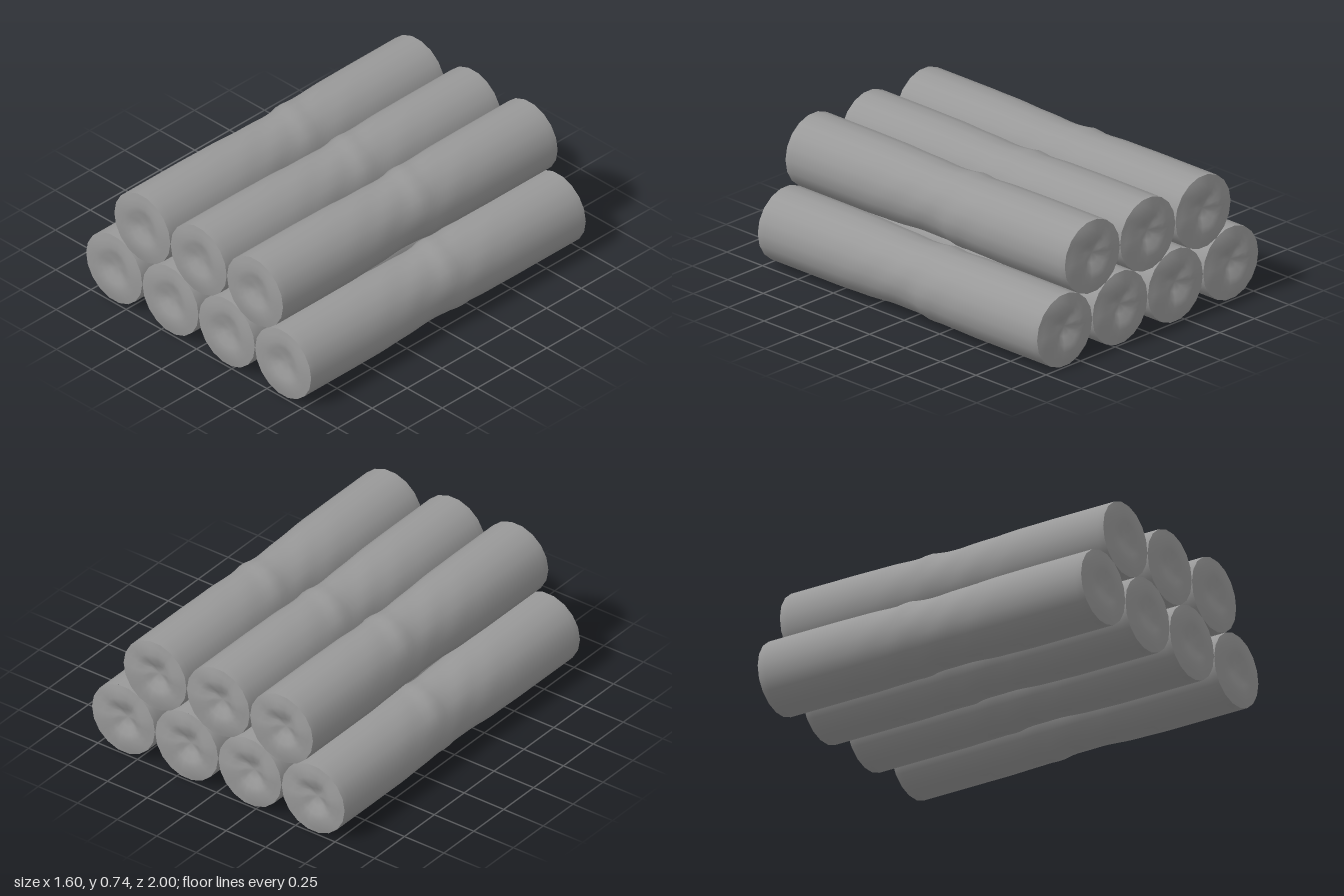
import * as THREE from 'three';
import { mergeVertices } from 'three/addons/utils/BufferGeometryUtils.js';

const R = 0.199, RIM = 0.985, SIDES = 18;
const bell = (t, centre, width) => Math.exp(-(((t - centre) / width) ** 2));

// Lathe around z with vertices on the +x and -x sides, moved by a rule and smoothed
function latheAlongZ(profile, move) {
  const points = profile.map(([r, h]) => new THREE.Vector2(r, h));
  const lathe = new THREE.LatheGeometry(points, SIDES, Math.PI / 2);
  lathe.rotateX(Math.PI / 2);
  lathe.deleteAttribute('uv');
  lathe.deleteAttribute('normal');
  const p = lathe.attributes.position;
  const v = new THREE.Vector3();
  for (let i = 0; i < p.count; i++) {
    move(v.fromBufferAttribute(p, i));
    p.setXYZ(i, v.x, v.y, v.z);
  }
  const geometry = mergeVertices(lathe, 1e-5);
  geometry.computeVertexNormals();
  return geometry;
}

// Log side: a slight waist with a knotty ridge and small bumps near the middle
function barkGeometry() {
  const profile = [];
  const steps = 48;
  for (let i = 0; i <= steps; i++) profile.push([R, -RIM + (2 * RIM * i) / steps]);
  return latheAlongZ(profile, (v) => {
    const a = Math.atan2(v.y, v.x);
    const waist = 0.075 * bell(v.z, 0.02, 0.28);
    const ridge = 0.045 * bell(v.z, -0.1 + 0.04 * Math.sin(2 * a), 0.05);
    const bumps = 0.016 * bell(v.z, 0, 0.4) * Math.sin(3 * a + 9 * v.z) * Math.cos(16 * v.z + 2 * a);
    const s = 1 - waist + ridge + bumps;
    v.x *= s;
    v.y *= s;
  });
}

// Log end: raised ring around an uneven dent
function endGeometry(depth, lobes, ripple) {
  const profile = [[R, 0], [0.165, 0.007], [0.125, 0.012], [0.09, 0.007], [0.05, -0.6 * depth], [0, -depth]];
  return latheAlongZ(profile, (v) => {
    const r = Math.hypot(v.x, v.y) / R;
    const a = Math.atan2(v.y, v.x);
    v.z = Math.min(RIM + v.z + ripple * Math.sin(lobes * a + 0.6) * r * (1 - r), 1);
    v.x += 0.015 * (1 - r);
    v.y += 0.012 * (1 - r);
  });
}

export function createModel() {
  const model = new THREE.Group();
  model.name = 'logPile';
  const material = new THREE.MeshStandardMaterial({ color: 0x999999 });
  const bark = barkGeometry();
  const frontEnd = endGeometry(0.01, 3, 0.014);
  const backEnd = endGeometry(0.02, 4, 0.03);

  function addLog(x, y, name) {
    const log = new THREE.Group();
    log.name = name;
    const side = new THREE.Mesh(bark, material);
    side.name = 'bark';
    const front = new THREE.Mesh(frontEnd, material);
    front.name = 'frontEnd';
    const back = new THREE.Mesh(backEnd, material);
    back.name = 'backEnd';
    back.rotation.y = Math.PI;
    log.add(side, front, back);
    log.position.set(x, y, 0);
    model.add(log);
  }

  // Four logs below, three resting in the gaps above
  for (let i = 0; i < 4; i++) addLog(-0.6 + 0.4 * i, 0.198, `lowerLog${i + 1}`);
  for (let i = 0; i < 3; i++) addLog(-0.4 + 0.4 * i, 0.541, `upperLog${i + 1}`);
  return model;
}
